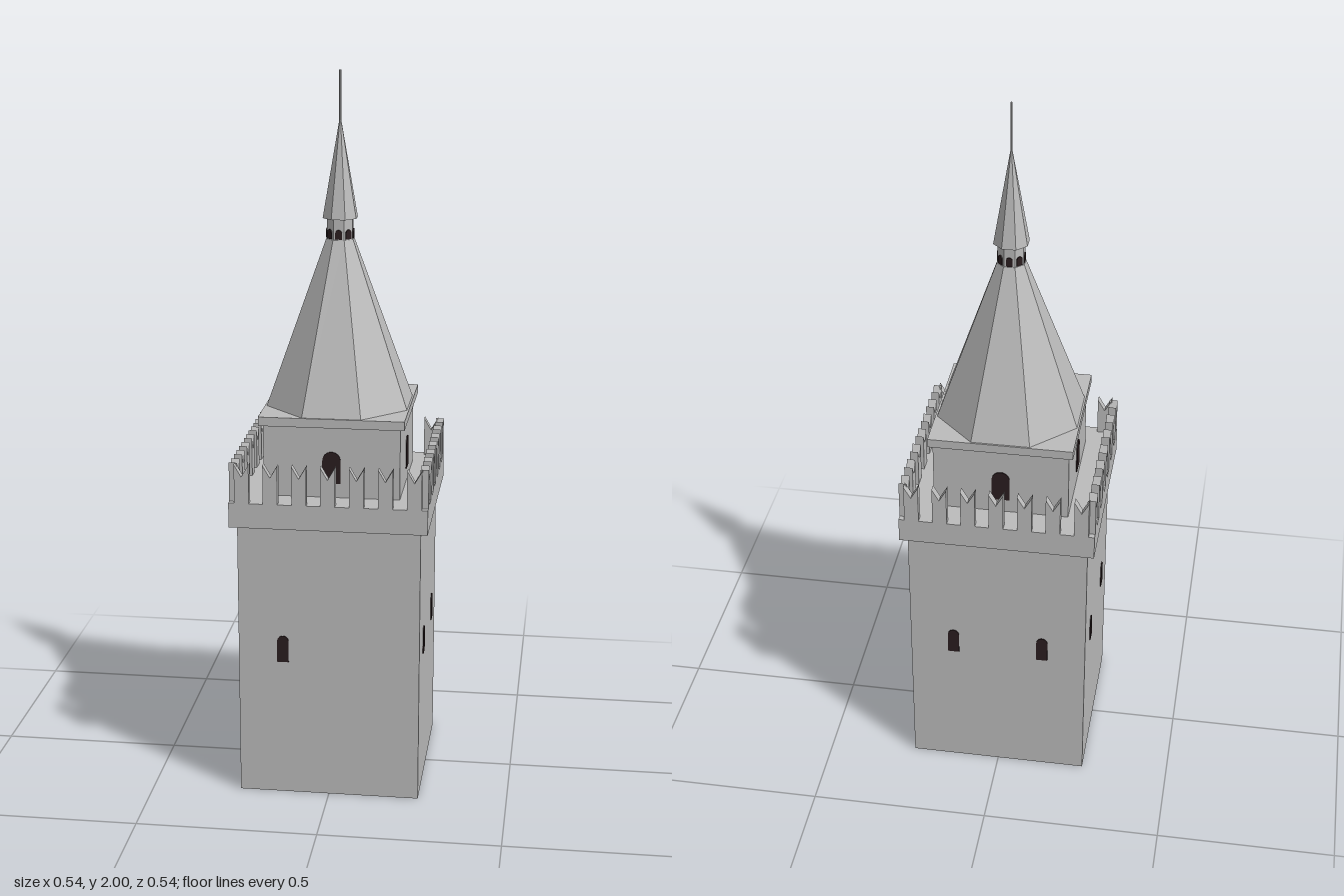
import * as THREE from 'three';

const stone = new THREE.MeshStandardMaterial({ color: 0xbcbcbc, flatShading: true, side: THREE.DoubleSide });
stone.name = 'stone grey';
const dark = new THREE.MeshStandardMaterial({ color: 0x2a1d1f });
dark.name = 'window dark';

function add(parent, name, geometry, material, x = 0, y = 0, z = 0) {
  const mesh = new THREE.Mesh(geometry, material);
  mesh.name = name;
  mesh.position.set(x, y, z);
  parent.add(mesh);
  return mesh;
}

// Square block standing on y0
function block(parent, name, half, y0, y1) {
  add(parent, name, new THREE.BoxGeometry(2 * half, y1 - y0, 2 * half), stone, 0, (y0 + y1) / 2, 0);
}

// Eight-sided frustum with flats facing the axes; sizes are centre-to-flat
function octagon(parent, name, bottom, top, y0, y1) {
  const k = 1 / Math.cos(Math.PI / 8);
  const g = new THREE.CylinderGeometry(top * k, bottom * k, y1 - y0, 8, 1, false, Math.PI / 8);
  add(parent, name, g, stone, 0, (y0 + y1) / 2, 0);
}

// Thin round-headed window plate with its sill at y = 0
function archPlate(width, height) {
  const r = width / 2;
  const s = new THREE.Shape();
  s.moveTo(-r, 0);
  s.lineTo(r, 0);
  s.lineTo(r, height - r);
  s.absarc(0, height - r, r, 0, Math.PI, false);
  s.closePath();
  return new THREE.ExtrudeGeometry(s, { depth: 0.003, bevelEnabled: false, curveSegments: 10 });
}

// Swallow-tailed battlement with a V notch
function merlonGeometry() {
  const s = new THREE.Shape();
  s.moveTo(-0.02, 0);
  s.lineTo(0.02, 0);
  s.lineTo(0.02, 0.11);
  s.lineTo(0, 0.075);
  s.lineTo(-0.02, 0.11);
  s.closePath();
  return new THREE.ExtrudeGeometry(s, { depth: 0.023, bevelEnabled: false });
}

export function createModel() {
  const tower = new THREE.Group();
  tower.name = 'tower';

  // Hollow shaft, open underneath
  const shaft = new THREE.CylinderGeometry(0.252 * Math.SQRT2, 0.252 * Math.SQRT2, 0.79, 4, 1, true, Math.PI / 4);
  add(tower, 'shaft', shaft, stone, 0, 0.395, 0);

  // Parapet, belfry and cornice
  block(tower, 'parapet', 0.272, 0.79, 0.86);
  block(tower, 'belfry', 0.188, 0.86, 1.06);
  block(tower, 'cornice', 0.2, 1.06, 1.085);

  // Each side: battlements and windows; the front has one shaft window only
  const merlon = merlonGeometry();
  const slit = archPlate(0.032, 0.077);
  const bellArch = archPlate(0.05, 0.09);
  ['front', 'left', 'back', 'right'].forEach((label, i) => {
    const side = new THREE.Group();
    side.name = label + 'Side';
    side.rotation.y = i * Math.PI / 2;
    for (let j = -3; j <= 3; j++) add(side, 'merlon', merlon, stone, j * 0.0785, 0.86, 0.249);
    add(side, 'shaftWindow', slit, dark, -0.128, 0.395, 0.252);
    if (i > 0) add(side, 'shaftWindow', slit, dark, 0.128, 0.395, 0.252);
    add(side, 'belfryWindow', bellArch, dark, 0, 0.9, 0.188);
    tower.add(side);
  });

  // Spire, lantern neck and cap
  octagon(tower, 'spire', 0.195, 0.037, 1.085, 1.545);
  octagon(tower, 'lantern', 0.035, 0.035, 1.545, 1.605);
  octagon(tower, 'cap', 0.046, 0.002, 1.602, 1.87);
  add(tower, 'finial', new THREE.CylinderGeometry(0.003, 0.003, 0.15, 8), stone, 0, 1.925, 0);

  // Small openings round the lantern
  const opening = archPlate(0.018, 0.026);
  for (let i = 0; i < 8; i++) {
    const face = new THREE.Group();
    face.name = 'lanternFace';
    face.rotation.y = i * Math.PI / 4;
    add(face, 'lanternOpening', opening, dark, 0, 1.547, 0.035);
    tower.add(face);
  }

  return tower;
}
